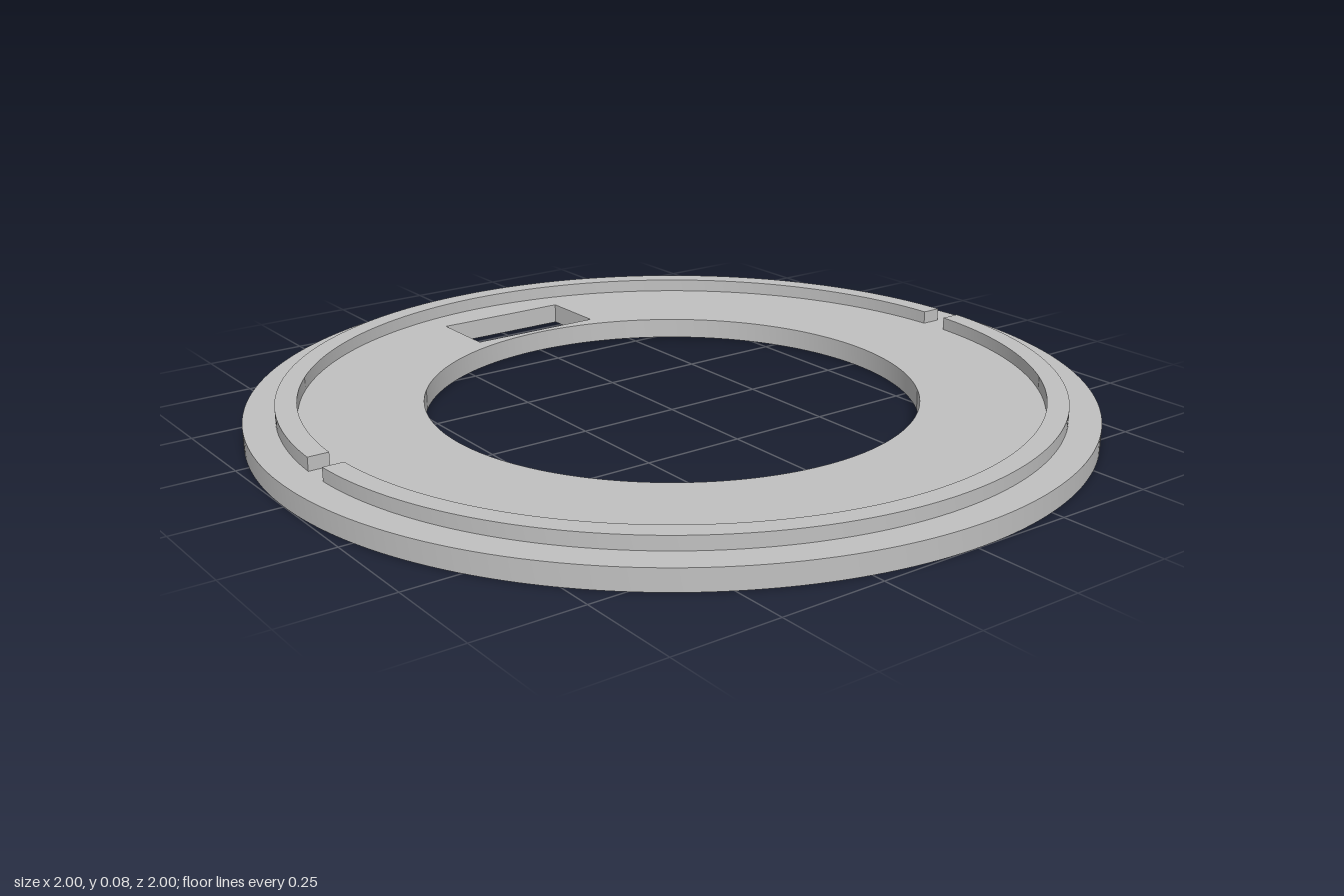
import * as THREE from 'three';
import { toCreasedNormals } from 'three/addons/utils/BufferGeometryUtils.js';

const PLATE_HEIGHT = 0.05, RIDGE_HEIGHT = 0.032;
const OUTER = 1, INNER = 0.587;
const RIDGE_OUTER = 0.926, RIDGE_INNER = 0.876, HALF_GAP = 0.035;

export function createModel() {
  const model = new THREE.Group();
  model.name = 'ringPlate';
  const grey = new THREE.MeshStandardMaterial({ color: 0xc0c0c0 });
  grey.name = 'lightGrey';

  // Extrudes a plan outline upwards, from height y
  function addSlab(name, shape, height, y, curveSegments) {
    let geometry = new THREE.ExtrudeGeometry(shape, { depth: height, bevelEnabled: false, curveSegments });
    geometry.rotateX(-Math.PI / 2);
    geometry = toCreasedNormals(geometry, Math.PI / 6);
    const mesh = new THREE.Mesh(geometry, grey);
    mesh.name = name;
    mesh.position.y = y;
    model.add(mesh);
    return mesh;
  }

  // Flat ring with a round opening and a rectangular slot at the back
  const plate = new THREE.Shape().absarc(0, 0, OUTER, 0, Math.PI * 2, false);
  plate.holes.push(new THREE.Path().absarc(0, 0, INNER, 0, Math.PI * 2, true));
  const slot = new THREE.Path();
  slot.moveTo(-0.174, 0.605);
  slot.lineTo(-0.174, 0.781);
  slot.lineTo(0.174, 0.781);
  slot.lineTo(0.174, 0.605);
  slot.closePath();
  plate.holes.push(slot);
  addSlab('basePlate', plate, PLATE_HEIGHT, 0, 128);

  // Two raised half rings, separated by parallel-sided gaps at the left and right
  const a = Math.asin(HALF_GAP / RIDGE_OUTER), b = Math.asin(HALF_GAP / RIDGE_INNER);
  const ridge = new THREE.Shape();
  ridge.absarc(0, 0, RIDGE_OUTER, a, Math.PI - a, false);
  ridge.absarc(0, 0, RIDGE_INNER, Math.PI - b, b, true);
  ridge.closePath();
  addSlab('backRidge', ridge, RIDGE_HEIGHT, PLATE_HEIGHT, 64);
  addSlab('frontRidge', ridge, RIDGE_HEIGHT, PLATE_HEIGHT, 64).rotation.y = Math.PI;

  return model;
}
